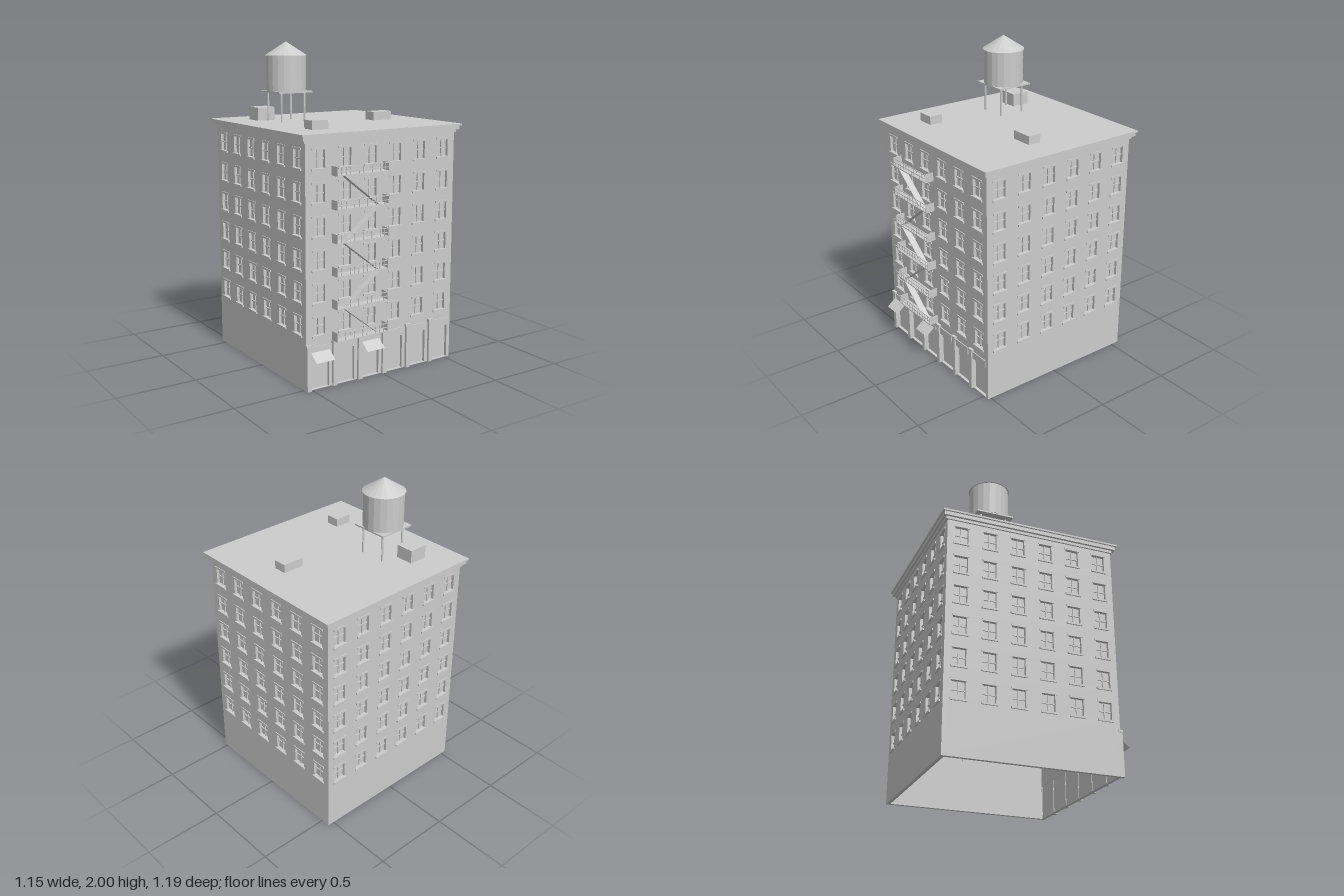
import * as THREE from 'three';
import { mergeGeometries } from 'three/addons/utils/BufferGeometryUtils.js';

const stone = new THREE.MeshStandardMaterial({ color: 0xcccccc, flatShading: true, side: THREE.DoubleSide });
stone.name = 'paleGrey';

const HALF = 0.54, CENTRE_Z = -0.018, FRONT = HALF + CENTRE_Z;
const FLOORS = 6, STOREY = 0.1955, PITCH = 0.18;

// box given by its two corners
function box(x0, x1, y0, y1, z0, z1) {
  return new THREE.BoxGeometry(x1 - x0, y1 - y0, z1 - z0)
    .translate((x0 + x1) / 2, (y0 + y1) / 2, (z0 + z1) / 2);
}

function part(name, geometries, parent) {
  const list = [].concat(geometries);
  const mesh = new THREE.Mesh(list.length > 1 ? mergeGeometries(list) : list[0], stone);
  mesh.name = name;
  parent.add(mesh);
  return mesh;
}

function cutHole(shape, x0, x1, y0, y1) {
  const hole = new THREE.Path();
  hole.moveTo(x0, y0).lineTo(x0, y1).lineTo(x1, y1).lineTo(x1, y0).closePath();
  shape.holes.push(hole);
}

// one wall with recessed sash windows, facing +z at distance HALF
function buildWall(name, shopBays) {
  const wall = new THREE.Group();
  wall.name = name;
  const shape = new THREE.Shape();
  shape.moveTo(-HALF, 0).lineTo(HALF, 0).lineTo(HALF, 1.47).lineTo(-HALF, 1.47).closePath();
  const panes = [], sashes = [], sills = [], lintels = [];
  const w = 0.041, h = 0.053;
  for (let row = 0; row < FLOORS; row++) {
    for (let col = 0; col < 6; col++) {
      const x = (col - 2.5) * PITCH, y = 0.382 + row * STOREY;
      cutHole(shape, x - w, x + w, y - h, y + h);
      panes.push(new THREE.PlaneGeometry(2 * w, 2 * h).translate(x, y, HALF - 0.018));
      sashes.push(box(x - 0.003, x + 0.003, y - h, y + h, HALF - 0.018, HALF - 0.011));
      sashes.push(box(x - w, x + w, y - 0.003, y + 0.003, HALF - 0.018, HALF - 0.011));
      sills.push(box(x - 0.05, x + 0.05, y - h - 0.012, y - h, HALF - 0.01, HALF + 0.009));
      lintels.push(box(x - 0.048, x + 0.048, y + h, y + h + 0.012, HALF - 0.01, HALF + 0.005));
    }
  }
  for (const [x0, x1] of shopBays) {
    cutHole(shape, x0, x1, 0.004, 0.217);
    panes.push(new THREE.PlaneGeometry(x1 - x0, 0.213).translate((x0 + x1) / 2, 0.1105, HALF - 0.018));
  }
  part('wallPanel', new THREE.ExtrudeGeometry(shape, { depth: 0.022, bevelEnabled: false })
    .translate(0, 0, HALF - 0.022), wall);
  part('windowPanes', panes, wall);
  part('windowSashes', sashes, wall);
  part('windowSills', sills, wall);
  part('windowLintels', lintels, wall);
  return wall;
}

function buildStorefront() {
  const shop = new THREE.Group();
  shop.name = 'storefront';
  const pilasters = [], signs = [], awnings = [];
  for (let i = 0; i < 6; i++) {
    const x = -HALF + i * PITCH;
    pilasters.push(box(x, x + 0.028, 0, 0.265, FRONT - 0.01, FRONT + 0.015));
    pilasters.push(box(x - 0.004, x + 0.034, 0.265, 0.281, FRONT - 0.01, FRONT + 0.017));
    signs.push(box(x + 0.028, x + 0.157, 0.217, 0.265, FRONT - 0.01, FRONT + 0.006));
  }
  // sloping sheet awnings
  for (const x of [-0.45, -0.092]) {
    const drop = 0.047, reach = 0.059;
    awnings.push(new THREE.PlaneGeometry(0.127, Math.hypot(drop, reach))
      .rotateX(-Math.atan2(reach, drop))
      .translate(x, 0.2115, 0.5655));
  }
  part('pilasters', pilasters, shop);
  part('signBands', signs, shop);
  part('awnings', awnings, shop);
  return shop;
}

function buildFireEscape() {
  const escape = new THREE.Group();
  escape.name = 'fireEscape';
  const x0 = -0.363, x1 = 0, z1 = 0.583;
  const floors = [], ends = [], rails = [], stairs = [];
  for (let i = 0; i < FLOORS; i++) {
    const y = 0.282 + i * STOREY;
    floors.push(box(x0, x1, y, y + 0.006, FRONT, z1));
    ends.push(box(x0, x0 + 0.003, y, y + 0.055, FRONT, z1));
    ends.push(box(x1 - 0.003, x1, y, y + 0.055, FRONT, z1));
    for (const dy of [0.026, 0.051]) rails.push(box(x0, x1, y + dy, y + dy + 0.004, z1 - 0.004, z1));
    for (let k = 1; k < 12; k++) {
      const x = x0 + (x1 - x0) * k / 12;
      rails.push(box(x - 0.0015, x + 0.0015, y, y + 0.053, z1 - 0.003, z1));
    }
    // flights alternate in direction
    if (i < FLOORS - 1) {
      const rise = STOREY, run = 0.25, side = i % 2 ? 1 : -1;
      stairs.push(new THREE.BoxGeometry(Math.hypot(rise, run), 0.004, 0.042)
        .rotateZ(side * Math.atan2(rise, run))
        .translate(-0.183, y + rise / 2, 0.559));
    }
  }
  part('landings', floors, escape);
  part('endPanels', ends, escape);
  part('railings', rails, escape);
  part('stairFlights', stairs, escape);
  return escape;
}

function buildWaterTower() {
  const tower = new THREE.Group();
  tower.name = 'waterTower';
  tower.position.set(-0.24, 0, -0.185);
  const legs = [], hoops = [];
  for (const x of [-0.083, 0.083]) {
    for (const z of [-0.083, 0.083]) {
      legs.push(new THREE.CylinderGeometry(0.006, 0.006, 0.19, 8).translate(x, 1.595, z));
    }
  }
  for (const y of [1.74, 1.8, 1.86]) {
    hoops.push(new THREE.CylinderGeometry(0.1265, 0.1265, 0.006, 20, 1, true).translate(0, y, 0));
  }
  part('legs', legs, tower);
  part('platform', box(-0.12, 0.12, 1.685, 1.695, -0.12, 0.12), tower);
  part('tank', new THREE.CylinderGeometry(0.125, 0.125, 0.222, 20).translate(0, 1.804, 0), tower);
  part('tankHoops', hoops, tower);
  part('tankRoof', new THREE.ConeGeometry(0.132, 0.085, 20).translate(0, 1.9575, 0), tower);
  return tower;
}

export function createModel() {
  const model = new THREE.Group();
  model.name = 'apartmentBuilding';

  // four walls, open underneath
  const bays = [];
  for (let i = 0; i < 6; i++) bays.push([-HALF + i * PITCH + 0.028, -HALF + i * PITCH + 0.157]);
  ['frontWall', 'leftWall', 'backWall', 'rightWall'].forEach((name, i) => {
    const wall = buildWall(name, i === 0 ? bays : []);
    wall.rotation.y = i * Math.PI / 2;
    wall.position.z = CENTRE_Z;
    model.add(wall);
  });

  // stepped cornice carrying the flat roof
  const cornice = [[0.55, 1.452, 1.47], [0.565, 1.469, 1.493], [0.575, 1.493, 1.504]]
    .map(([r, y0, y1]) => box(-r, r, y0, y1, -0.02 - r, -0.02 + r));
  part('corniceAndRoof', cornice, model);

  // rooftop housings
  part('roofBoxes', [
    box(-0.388, -0.266, 1.5, 1.586, -0.404, -0.288),
    box(0.236, 0.375, 1.5, 1.557, 0.01, 0.096),
    box(-0.388, -0.277, 1.5, 1.557, 0.269, 0.355),
  ], model);

  model.add(buildStorefront(), buildFireEscape(), buildWaterTower());
  return model;
}
